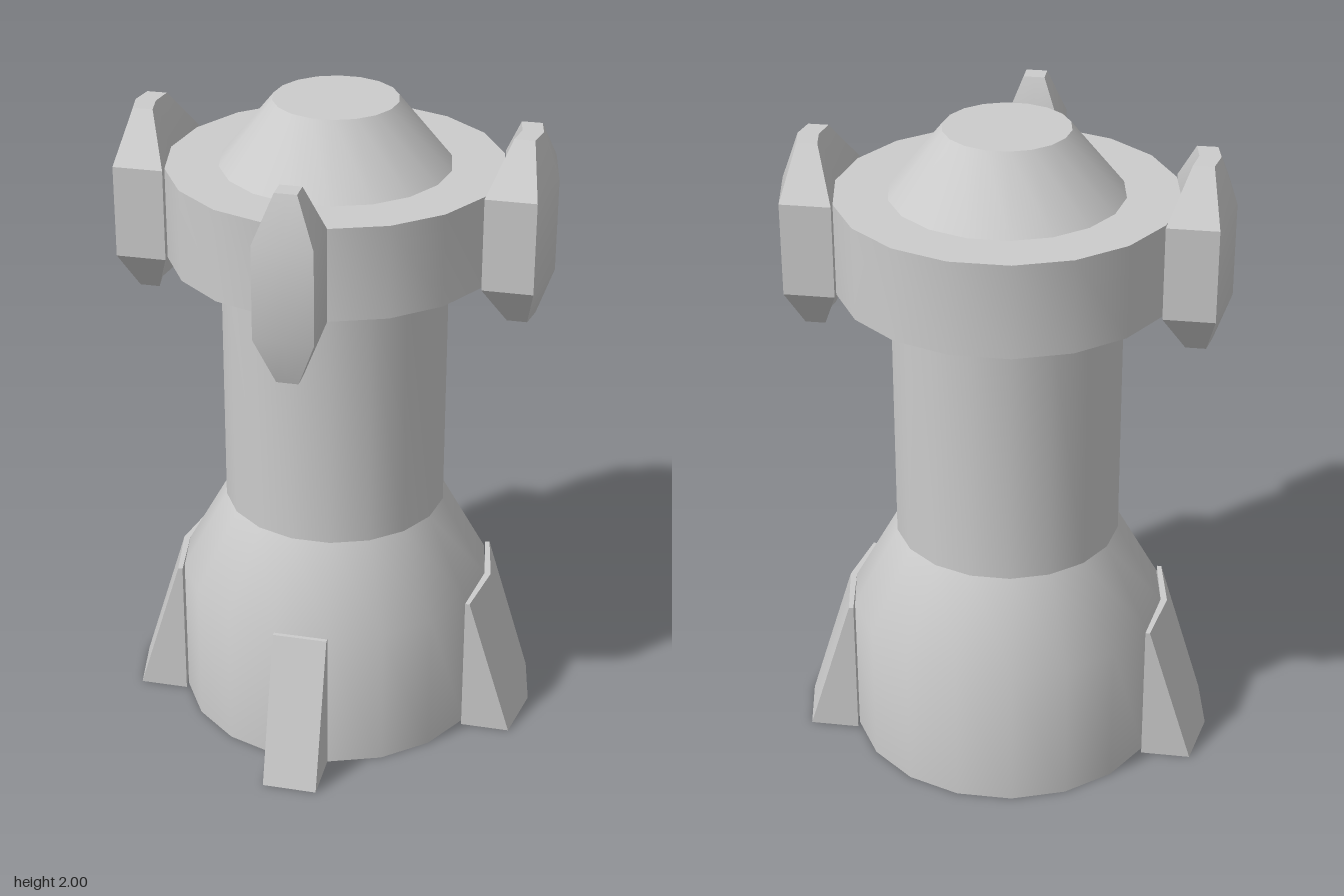
import * as THREE from 'three';
import { toCreasedNormals } from 'three/addons/utils/BufferGeometryUtils.js';

const SIDES = 18;
const START = Math.PI / SIDES; // puts a corner on the x axis and a flat towards the front

export function createModel() {
  const model = new THREE.Group();
  model.name = 'tower';
  const material = new THREE.MeshStandardMaterial({ color: 0xcccccc });

  const add = (name, geometry, crease) => {
    const mesh = new THREE.Mesh(toCreasedNormals(geometry, crease), material);
    mesh.name = name;
    mesh.position.z = -0.08;
    model.add(mesh);
    return mesh;
  };

  // Turned part from [radius, y] points
  const turned = (name, points, crease) => add(name, new THREE.LatheGeometry(
    points.map(([r, y]) => new THREE.Vector2(r, y)), SIDES, START), crease);

  // Block lofted upwards through sections; each has a bent inner and outer side
  const lofted = sections => {
    const rings = sections.map(({ y, w, inner, innerMid, outer, outerMid }) => [
      [inner, y, -w], [innerMid, y, 0], [inner, y, w],
      [outer, y, w], [outerMid, y, 0], [outer, y, -w],
    ]);
    const positions = [];
    const quad = (a, b, c, d) => positions.push(...a, ...b, ...c, ...a, ...c, ...d);
    for (let k = 0; k < rings.length - 1; k++) {
      const lo = rings[k], hi = rings[k + 1];
      for (let i = 0; i < 6; i++) {
        const j = (i + 1) % 6;
        quad(lo[i], lo[j], hi[j], hi[i]);
      }
    }
    const top = rings[rings.length - 1], bottom = rings[0];
    quad(top[0], top[1], top[4], top[5]);
    quad(top[1], top[2], top[3], top[4]);
    quad(bottom[5], bottom[4], bottom[1], bottom[0]);
    quad(bottom[4], bottom[3], bottom[2], bottom[1]);
    const geometry = new THREE.BufferGeometry();
    geometry.setAttribute('position', new THREE.Float32BufferAttribute(positions, 3));
    return geometry;
  };

  const section = (y, w, inner, innerMid, outer, outerMid) =>
    ({ y, w, inner, innerMid, outer, outerMid });

  // Body
  turned('base', [[0, 0], [0.483, 0], [0.483, 0.455], [0.343, 0.71]], 0.6);
  turned('column', [[0.343, 0.71], [0.343, 1.53]], 0.5);
  turned('collar', [[0, 1.525], [0.5, 1.525], [0.5, 1.805], [0, 1.805]], 0.5);
  turned('roof', [[0.343, 1.805], [0.185, 2], [0, 2]], 0.5);

  // Wide fins and pods at both sides, following the corner of the body
  const sideFin = lofted([
    section(0, 0.19, 0.454, 0.483, 0.605, 0.64),
    section(0.455, 0.19, 0.454, 0.483, 0.468, 0.503),
  ]);
  const sidePod = lofted([
    section(1.38, 0.072, 0.53, 0.542, 0.59, 0.604),
    section(1.525, 0.193, 0.47, 0.5, 0.62, 0.655),
    section(1.805, 0.193, 0.47, 0.5, 0.62, 0.655),
    section(1.945, 0.072, 0.53, 0.542, 0.59, 0.604),
  ]);
  for (const [side, angle] of [['left', 0], ['right', Math.PI]]) {
    add(side + 'Fin', sideFin, 0.5).rotation.y = angle;
    add(side + 'Pod', sidePod, 0.5).rotation.y = angle;
  }

  // Narrow fin and pod on the front flat
  const frontFin = lofted([
    section(0, 0.083, 0.475, 0.475, 0.635, 0.635),
    section(0.455, 0.083, 0.475, 0.475, 0.488, 0.488),
  ]);
  const frontPod = lofted([
    section(1.38, 0.032, 0.545, 0.545, 0.605, 0.605),
    section(1.525, 0.087, 0.492, 0.492, 0.65, 0.65),
    section(1.805, 0.087, 0.492, 0.492, 0.65, 0.65),
    section(1.945, 0.032, 0.545, 0.545, 0.605, 0.605),
  ]);
  add('frontFin', frontFin, 0.5).rotation.y = -Math.PI / 2;
  add('frontPod', frontPod, 0.5).rotation.y = -Math.PI / 2;

  return model;
}
